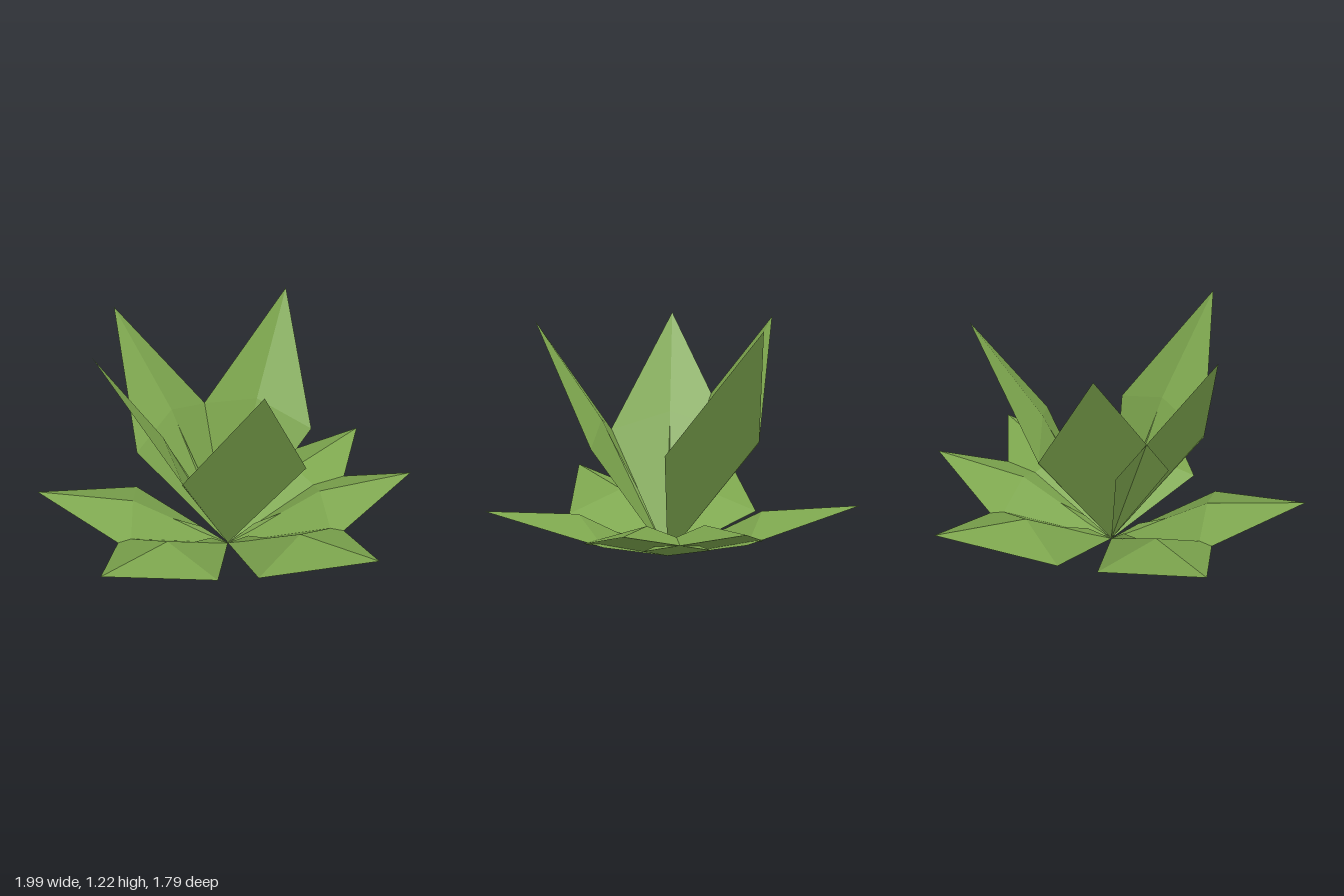
import * as THREE from 'three';

const leafGreen = new THREE.MeshStandardMaterial({ color: 0x7da64e });
leafGreen.name = 'leafGreen';

// Closed low-poly kite from the origin to (reach, height, 0): flat underside, raised ridge on top
function kite(reach, height, halfWidth, lift) {
  const base = [0, 0, 0];
  const tip = [reach, height, 0];
  const left = [reach / 2, height / 2, -halfWidth];
  const right = [reach / 2, height / 2, halfWidth];
  const ridge = [reach / 2, height / 2 + lift, 0];
  const faces = [
    base, right, ridge, right, tip, ridge,
    tip, left, ridge, left, base, ridge,
    base, left, tip, base, tip, right,
  ];
  const geometry = new THREE.BufferGeometry();
  geometry.setAttribute('position', new THREE.Float32BufferAttribute(faces.flat(), 3));
  geometry.computeVertexNormals();
  return geometry;
}

function part(name, geometry) {
  const mesh = new THREE.Mesh(geometry, leafGreen);
  mesh.name = name;
  return mesh;
}

// One leaf with a slim rib running up its ridge from the base
function leaf(name, degrees, reach, height, ribLength) {
  const lift = 0.105;
  const group = new THREE.Group();
  group.name = name;
  group.add(part('blade', kite(reach, height, 0.32, lift)));
  group.add(part('rib', kite(reach / 2 * ribLength, (height / 2 + lift) * ribLength, 0.008, 0.03)));
  group.rotation.y = -THREE.MathUtils.degToRad(degrees);
  return group;
}

export function createModel() {
  const model = new THREE.Group();
  model.name = 'leafyPlant';
  const rosette = new THREE.Group();
  rosette.name = 'rosette';
  rosette.position.set(-0.005, 0, -0.1);
  model.add(rosette);

  // Low spreading leaves
  [-137.6, -52.7, 0, 32.7, 85.2, 170.2].forEach((a, i) =>
    rosette.add(leaf(`outerLeaf${i + 1}`, a, 1.0, 0.33, 0.58)));

  // Steep upright leaves
  [-157, -105, -20, 118.3].forEach((a, i) =>
    rosette.add(leaf(`innerLeaf${i + 1}`, a, 0.69, 1.22, 0.9)));

  return model;
}
